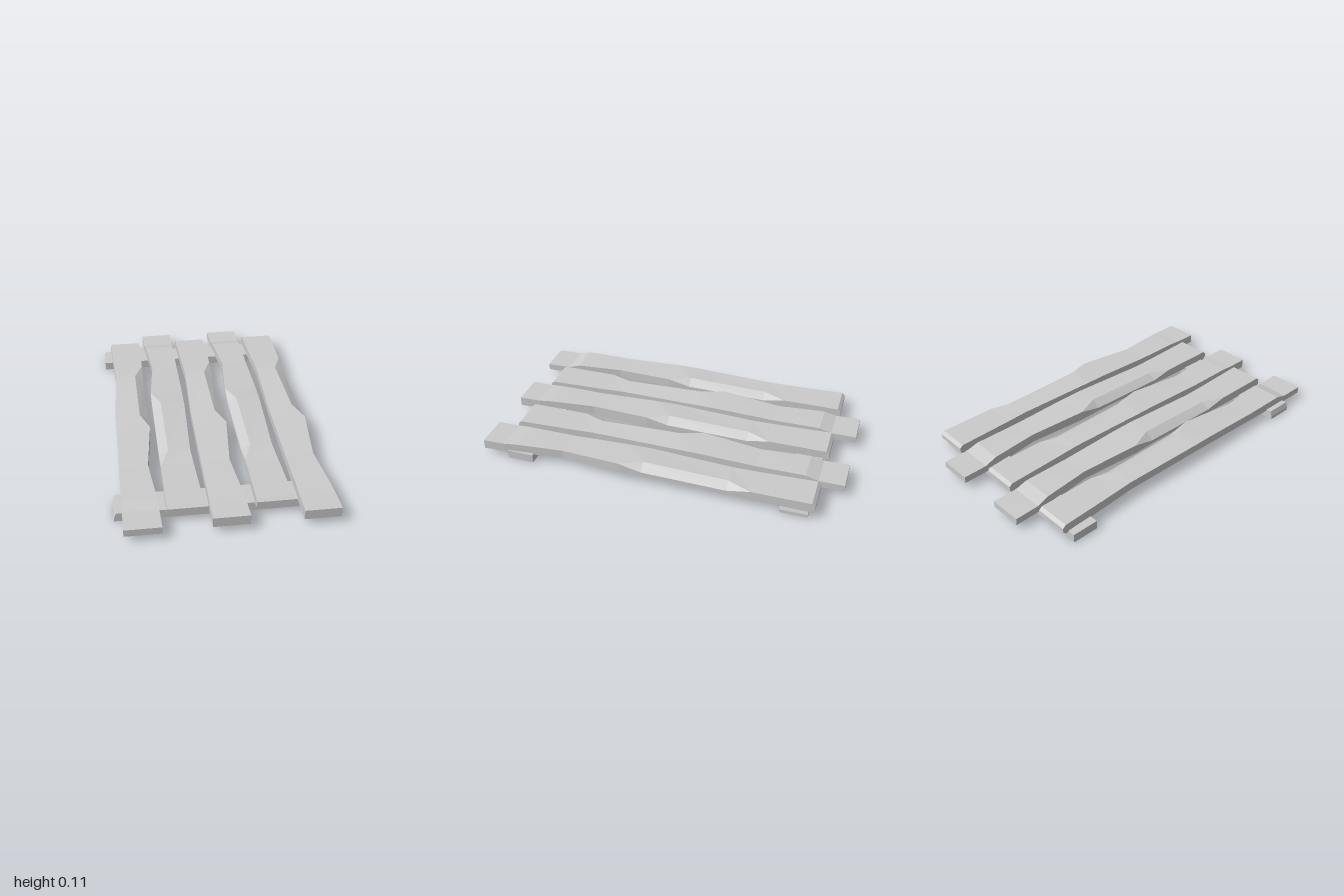
import * as THREE from 'three';

const wood = new THREE.MeshStandardMaterial({ color: 0xcccccc, flatShading: true });
const W = 0.188; // plank width

// Stations along a plank: z, bottom y, top left y, top right y,
// left edge inset, right edge inset, chip width, chip depth
function stations(zEnd, endTop) {
  return [
    [-0.89, 0.055, 0.08, 0.08, 0, 0, 0, 0],
    [-0.872, 0.04, 0.095, 0.095, 0, 0, 0, 0],
    [-0.55, 0.045, 0.095, 0.095, 0.013, 0, 0, 0],
    [-0.42, 0.049, 0.097, 0.101, 0.018, 0, 0.05, 0.03],
    [0.05, 0.06, 0.105, 0.114, 0, 0, 0.05, 0.034],
    [0.18, 0.056, 0.104, 0.109, 0, 0, 0, 0],
    [0.52, 0.046, 0.092, 0.094, 0, 0.035, 0, 0],
    [0.79, 0.036, 0.093, 0.093, 0, 0.01, 0, 0],
    [0.86, 0.035, endTop, endTop, 0, 0.004, 0, 0],
    [zEnd, 0.035, endTop, endTop, 0, 0, 0, 0],
  ];
}

// Warped plank lofted through five-sided sections, with a chip in one long edge
function plankGeometry(zEnd, endTop) {
  const rows = stations(zEnd, endTop);
  const pos = [], idx = [], n = 5;
  for (const [z, bottom, topL, topR, insetL, insetR, chipW, chipD] of rows) {
    const l = -W / 2 + insetL, r = W / 2 - insetR;
    pos.push(l, bottom, z, r, bottom, z, r, topR - chipD, z, r - chipW, topR, z, l, topL, z);
  }
  for (let s = 0; s < rows.length - 1; s++) {
    for (let i = 0; i < n; i++) {
      const a = s * n + i, b = s * n + (i + 1) % n;
      idx.push(a, b, b + n, a, b + n, a + n);
    }
  }
  // End caps
  const last = (rows.length - 1) * n;
  for (let i = 1; i < n - 1; i++) {
    idx.push(0, i + 1, i, last, last + i, last + i + 1);
  }
  // Winding runs counter-clockwise seen from +z, so sides are flipped to face out
  const geo = new THREE.BufferGeometry();
  geo.setAttribute('position', new THREE.Float32BufferAttribute(pos, 3));
  geo.setIndex(idx);
  const flat = geo.toNonIndexed();
  flat.computeVertexNormals();
  return flat;
}

// Cross bar with one slanted end
function crossBarGeometry() {
  const shape = new THREE.Shape([
    new THREE.Vector2(-0.56, 0), new THREE.Vector2(0.56, 0), new THREE.Vector2(0.56, 0.048),
    new THREE.Vector2(-0.548, 0.048), new THREE.Vector2(-0.56, 0.018),
  ]);
  return new THREE.ExtrudeGeometry(shape, { depth: 0.15, bevelEnabled: false }).translate(0, 0, -0.075);
}

export function createModel() {
  const group = new THREE.Group();
  const add = (name, geo, x, z, turned) => {
    const mesh = new THREE.Mesh(geo, wood);
    mesh.name = name;
    mesh.position.set(x, 0, z);
    if (turned) mesh.rotation.y = Math.PI;
    group.add(mesh);
  };

  // Planks, alternately turned end for end
  const thinEnd = plankGeometry(1, 0.073), thickEnd = plankGeometry(0.985, 0.088);
  [-0.424, -0.205, 0.01, 0.245, 0.466].forEach((x, i) => {
    const turned = i % 2 === 1;
    add('plank' + (i + 1), turned || i === 0 ? thinEnd : thickEnd, x, turned ? -0.01 : 0, turned);
  });

  // Cross bars under both ends
  const bar = crossBarGeometry();
  add('frontCrossBar', bar, 0, 0.765, false);
  add('backCrossBar', bar, 0, -0.783, true);
  return group;
}
